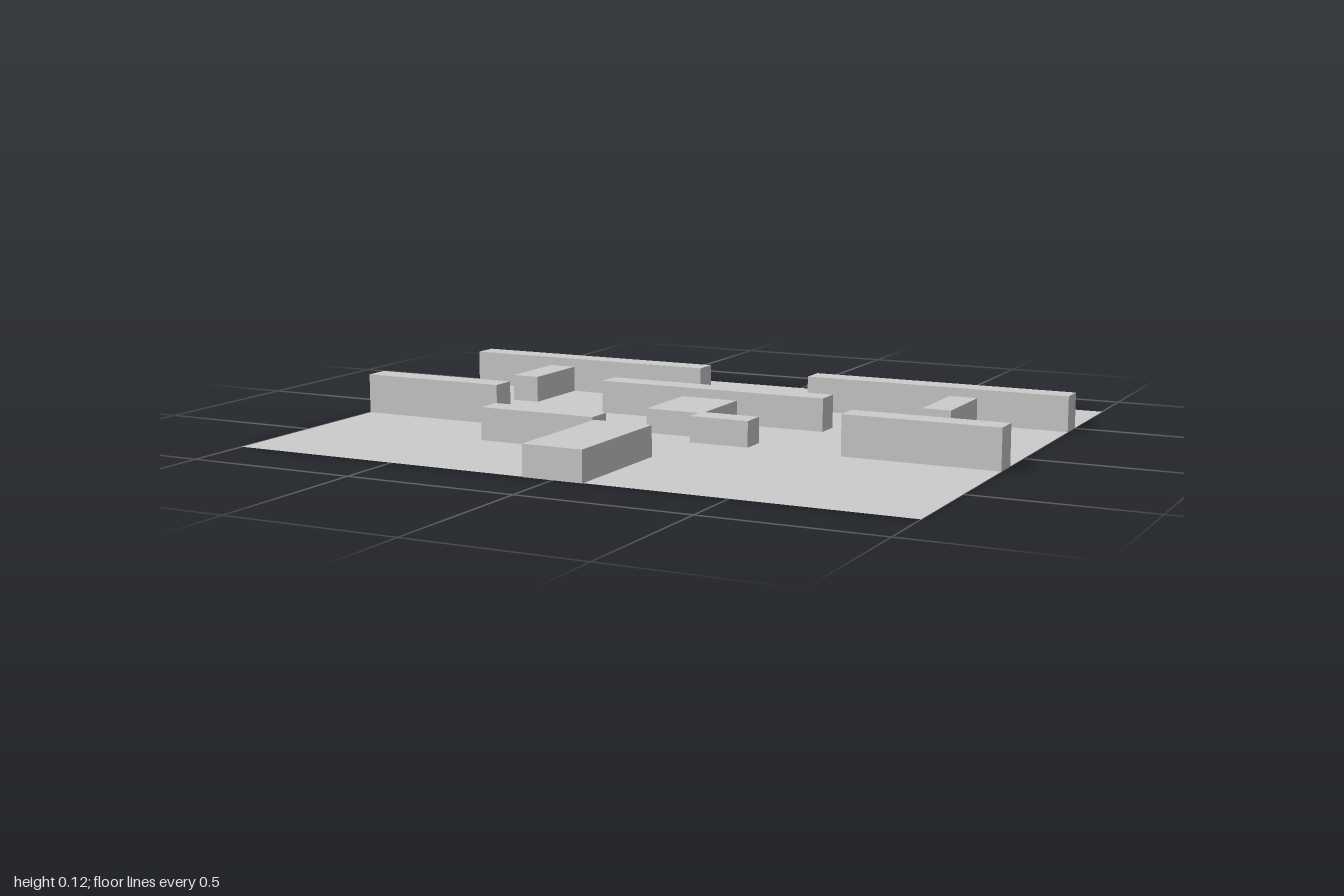
import * as THREE from 'three';

export function createModel() {
  const model = new THREE.Group();
  const grey = new THREE.MeshStandardMaterial({ color: 0xcccccc, flatShading: true });

  // Box standing on the ground, given by its extents in x and z and its height
  function block(name, x0, x1, z0, z1, height) {
    const mesh = new THREE.Mesh(new THREE.BoxGeometry(x1 - x0, height, z1 - z0), grey);
    mesh.position.set((x0 + x1) / 2, height / 2, (z0 + z1) / 2);
    mesh.name = name;
    model.add(mesh);
  }
  // The same box on both sides, given for the +x side
  function pair(name, x0, x1, ...rest) {
    block(name + 'Left', x0, x1, ...rest);
    block(name + 'Right', -x1, -x0, ...rest);
  }

  // Thin ground sheet
  const groundMaterial = grey.clone();
  groundMaterial.side = THREE.DoubleSide;
  const ground = new THREE.Mesh(new THREE.PlaneGeometry(2, 1.612).rotateX(-Math.PI / 2), groundMaterial);
  ground.position.z = -0.002;
  ground.name = 'groundSheet';
  model.add(ground);

  // Back walls with short spurs
  pair('backWall', 0.183, 1, -0.506, -0.431, 0.105);
  pair('backSpur', 0.638, 0.725, -0.431, -0.197, 0.079);

  // Central T: crossbar and stem, with a small wall at its foot
  block('centreWall', -0.363, 0.363, -0.196, -0.12, 0.098);
  block('centreStem', -0.089, 0.089, -0.12, 0.115, 0.071);
  block('footWall', 0.089, 0.268, 0.115, 0.191, 0.075);

  // Side walls
  pair('sideWall', 0.547, 1, 0.115, 0.191, 0.117);

  // Front wall and the block reaching the front edge
  block('frontWall', -0.454, -0.094, 0.348, 0.424, 0.095);
  block('frontBlock', -0.089, 0.089, 0.424, 0.808, 0.088);

  return model;
}
